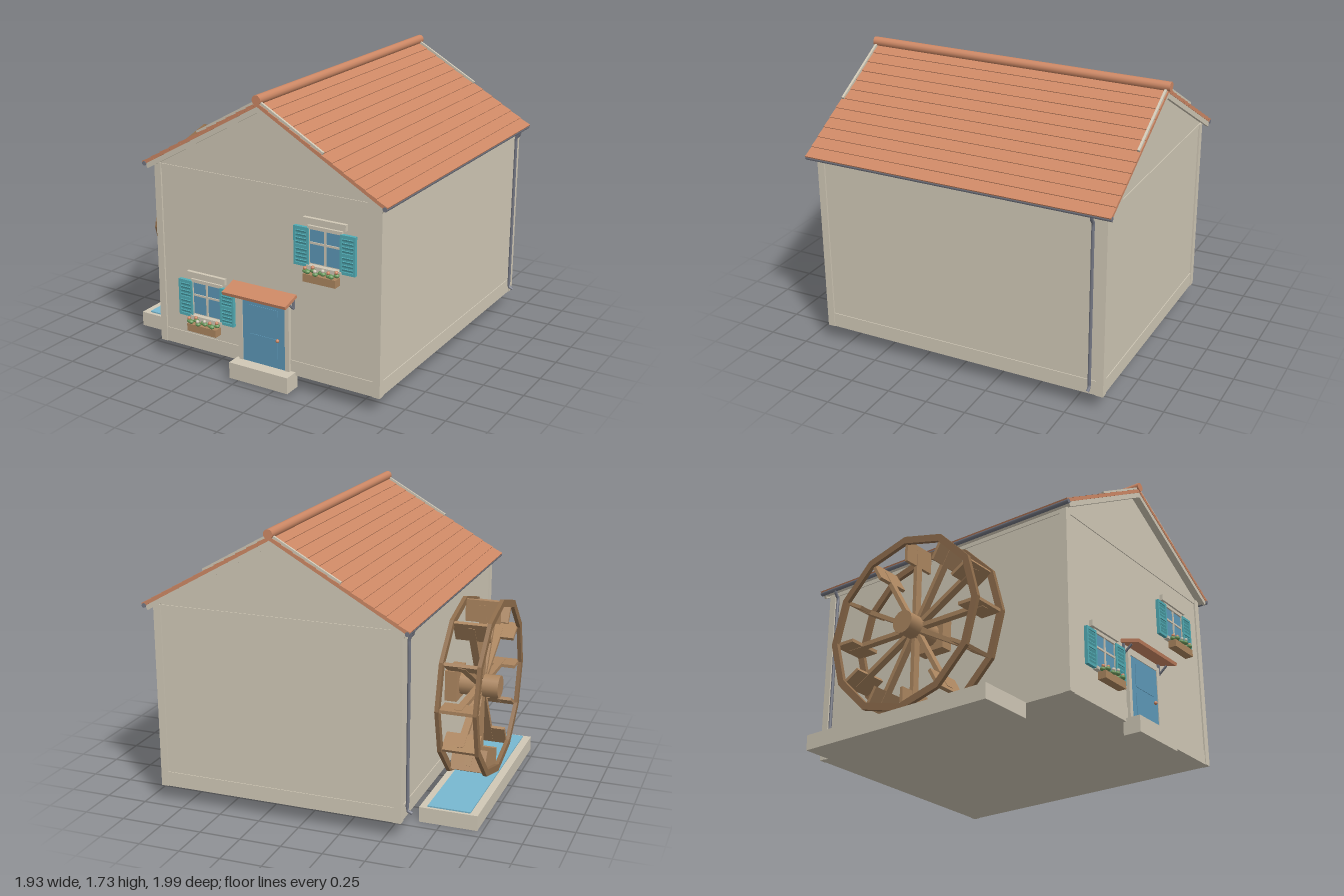
import * as THREE from 'three';

const mat = (name, hex) => {
  const m = new THREE.MeshStandardMaterial({ color: hex });
  m.name = name;
  return m;
};

export function createModel() {
  const M = {
    plaster: mat('cream plaster', 0xd0c8b6),
    tile: mat('terracotta', 0xcd8865),
    wood: mat('wood', 0xac8660),
    darkWood: mat('dark wood', 0x8f6d4c),
    blue: mat('door and glass blue', 0x5d98b8),
    teal: mat('shutter teal', 0x52adb6),
    water: mat('water', 0x78b8d0),
    metal: mat('gutter metal', 0x757884),
    leaf: mat('leaf green', 0x6b9a5c),
  };
  const root = new THREE.Group();
  root.name = 'watermill';

  const add = (name, geo, m, parent = root) => {
    const mesh = new THREE.Mesh(geo, m);
    mesh.name = name;
    parent.add(mesh);
    return mesh;
  };
  // Box given by its limits on each axis
  const box = (name, m, x0, x1, y0, y1, z0, z1, parent = root) => {
    const b = add(name, new THREE.BoxGeometry(x1 - x0, y1 - y0, z1 - z0), m, parent);
    b.position.set((x0 + x1) / 2, (y0 + y1) / 2, (z0 + z1) / 2);
    return b;
  };
  const group = (name, x = 0, y = 0, z = 0, parent = root) => {
    const g = new THREE.Group();
    g.name = name;
    g.position.set(x, y, z);
    parent.add(g);
    return g;
  };

  // House body with both gables
  const CX = 0.155, CZ = -0.03, HW = 0.745, F = 0.875, B = -0.935;
  const outline = new THREE.Shape([[-HW, 0.1], [HW, 0.1], [HW, 1.225], [0, 1.65], [-HW, 1.225]]
    .map(([x, y]) => new THREE.Vector2(x, y)));
  add('walls', new THREE.ExtrudeGeometry(outline, { depth: F - B, bevelEnabled: false }), M.plaster)
    .position.set(CX, 0, B);
  for (const sx of [-1, 1]) for (const [z0, z1] of [[0.84, 0.885], [-0.945, -0.9]]) {
    const x = CX + sx * 0.7325;
    box('cornerPost', M.plaster, x - 0.0225, x + 0.0225, 0.1, 1.225, z0, z1);
  }
  box('plinthBand', M.plaster, CX - HW - 0.005, CX + HW + 0.005, 0.1, 0.19, B - 0.005, F + 0.005);
  box('topBand', M.plaster, CX - HW - 0.005, CX + HW + 0.005, 1.195, 1.225, B - 0.005, F + 0.005);

  // Roof slopes: boarding, tile courses, rake strips and gutter
  const ANGLE = Math.atan2(0.455, 0.805), LEN = 0.925, COURSES = 12;
  for (const s of [-1, 1]) {
    const slope = group(s < 0 ? 'rightRoof' : 'leftRoof', CX, 1.69, -0.026);
    slope.rotation.z = -s * ANGLE;
    const along = (name, m, u0, u1, y0, y1, z0, z1) =>
      box(name, m, Math.min(s * u0, s * u1), Math.max(s * u0, s * u1), y0, y1, z0, z1, slope);
    along('roofBoards', M.plaster, 0, LEN - 0.015, -0.04, -0.02, -0.945, 0.945);
    along('roofBase', M.tile, 0, LEN - 0.01, -0.021, -0.006, -0.955, 0.955);
    const step = LEN / COURSES;
    for (let i = 0; i < COURSES; i++) {
      const row = along('tileCourse', M.tile, i * step - 0.008, (i + 1) * step + 0.004, -0.012, 0, -0.956, 0.956);
      row.rotation.z = s * 0.06;
    }
    for (const z of [-0.944, 0.944]) {
      along('bargeBoard', M.plaster, 0, LEN - 0.01, -0.05, -0.02, z - 0.008, z + 0.008);
      along('rakeStrip', M.plaster, 0.01, 0.47, -0.01, 0.014, z - 0.007, z + 0.007);
    }

    const gutter = add('gutter', new THREE.CylinderGeometry(0.014, 0.014, 1.915, 10), M.metal);
    gutter.rotation.x = Math.PI / 2;
    gutter.position.set(CX + s * 0.793, 1.223, -0.026);
    const pipe = [[0.793, 1.22], [0.79, 1.2], [0.767, 1.17], [0.767, 1.1], [0.767, 0.2], [0.768, 0.15], [0.795, 0.137]]
      .map(([x, y]) => new THREE.Vector3(CX + s * x, y, -0.865));
    add('downpipe', new THREE.TubeGeometry(new THREE.CatmullRomCurve3(pipe), 40, 0.01, 8), M.metal);
  }
  const cap = add('ridgeCap', new THREE.CylinderGeometry(0.028, 0.028, 1.93, 14), M.tile);
  cap.rotation.x = Math.PI / 2;
  cap.position.set(CX, 1.703, -0.03);

  // Front door, step and canopy
  box('doorStep', M.plaster, -0.04, 0.36, 0.02, 0.12, 0.86, 0.97);
  box('door', M.blue, 0.01, 0.3, 0.12, 0.52, F, 0.893);
  for (const x of [-0.018, 0.3]) box('doorJamb', M.plaster, x, x + 0.028, 0.1, 0.545, F, 0.898);
  box('doorHead', M.plaster, -0.018, 0.328, 0.52, 0.545, F, 0.898);
  for (const y of [0.16, 0.34]) box('doorPanel', M.blue, 0.06, 0.25, y, y + 0.14, F, 0.896);
  add('doorKnob', new THREE.SphereGeometry(0.011, 10, 8), M.tile).position.set(0.255, 0.3, 0.905);
  const canopy = box('canopy', M.tile, -0.06, 0.37, 0.566, 0.586, F, 0.998);
  canopy.rotation.x = 0.27;
  for (const x of [-0.038, 0.35]) {
    box('bracketPost', M.metal, x - 0.006, x + 0.006, 0.51, 0.585, F, 0.889);
    const strut = box('bracketStrut', M.metal, x - 0.005, x + 0.005, 0.535, 0.545, 0.88, 0.945);
    strut.rotation.x = -0.7;
  }

  // Shuttered windows with flower boxes
  const makeWindow = (x, y) => {
    const w = group('window', x, y, F);
    box('glass', M.blue, -0.1, 0.1, -0.1, 0.1, 0, 0.008, w);
    box('mullion', M.plaster, -0.006, 0.006, -0.1, 0.1, 0, 0.014, w);
    box('transom', M.plaster, -0.1, 0.1, 0.014, 0.026, 0, 0.014, w);
    for (const s of [-1, 1]) {
      box('frameSide', M.plaster, s * 0.104 - 0.006, s * 0.104 + 0.006, -0.11, 0.12, 0, 0.016, w);
      const sh = group('shutter', s * 0.148, -0.007, 0, w);
      box('shutterPanel', M.teal, -0.047, 0.047, -0.112, 0.112, 0.004, 0.018, sh);
      for (const e of [-1, 1]) box('shutterStile', M.teal, e * 0.042 - 0.006, e * 0.042 + 0.006, -0.113, 0.113, 0.004, 0.025, sh);
      for (const e of [-0.106, 0, 0.106]) box('shutterRail', M.teal, -0.047, 0.047, e - 0.008, e + 0.008, 0.004, 0.025, sh);
      for (let i = 0; i < 8; i++) {
        const v = (i < 4 ? -0.086 : 0.02) + (i % 4) * 0.022;
        box('louvre', M.teal, -0.037, 0.037, v - 0.006, v + 0.006, 0.008, 0.021, sh).rotation.x = 0.35;
      }
    }
    box('frameHead', M.plaster, -0.11, 0.11, 0.1, 0.12, 0, 0.018, w);
    box('lintel', M.plaster, -0.135, 0.135, 0.128, 0.165, 0, 0.022, w);
    box('sill', M.plaster, -0.112, 0.112, -0.125, -0.108, 0, 0.03, w);
    box('flowerBox', M.wood, -0.103, 0.103, -0.188, -0.142, 0.025, 0.077, w);
    for (let i = 0; i < 9; i++) {
      const px = -0.1 + i * 0.025, py = -0.132 + (i % 3) * 0.006, pz = 0.056 + (i % 2) * 0.018;
      const leaf = add('leaves', new THREE.SphereGeometry(0.016, 8, 6), M.leaf, w);
      leaf.position.set(px, py, pz);
      leaf.scale.set(1.1, 0.8, 1);
      if (i % 3 === 1) continue;
      add('blossom', new THREE.SphereGeometry(0.011, 8, 6), i % 2 ? M.plaster : M.tile, w)
        .position.set(px, py + 0.018, pz + 0.004);
    }
  };
  makeWindow(-0.247, 0.43);
  makeWindow(0.56, 0.915);

  // Water trough beside the house
  box('trough', M.plaster, -0.97, -0.62, 0, 0.092, -0.68, 0.61);
  box('water', M.water, -0.922, -0.665, 0.092, 0.1, -0.66, 0.587);

  // Water wheel turning about the x axis
  const wheel = group('waterWheel', -0.795, 0.648, -0.035);
  const hub = add('hub', new THREE.CylinderGeometry(0.07, 0.07, 0.24, 16), M.wood, wheel);
  hub.rotation.z = Math.PI / 2;
  box('axleMount', M.wood, 0.125, 0.2, -0.095, 0.095, -0.095, 0.095, wheel);
  const R = 0.545, N = 12, apothem = R * Math.cos(Math.PI / N), side = 2 * R * Math.sin(Math.PI / N);
  for (let i = 0; i < N; i++) {
    const arm = group('wheelArm', 0, 0, 0, wheel);
    arm.rotation.x = (i / N) * Math.PI * 2;
    box('spoke', M.wood, -0.022, 0.022, 0.05, 0.5, -0.013, 0.013, arm);
    box('paddle', M.wood, -0.106, 0.106, 0.395, 0.53, -0.01, 0.01, arm);
    const arc = group('rimSegment', 0, 0, 0, wheel);
    arc.rotation.x = ((i + 0.5) / N) * Math.PI * 2;
    for (const x of [-0.113, 0.113])
      box('rim', M.darkWood, x - 0.012, x + 0.012, apothem - 0.042, apothem, -side / 2, side / 2, arc);
  }
  return root;
}
